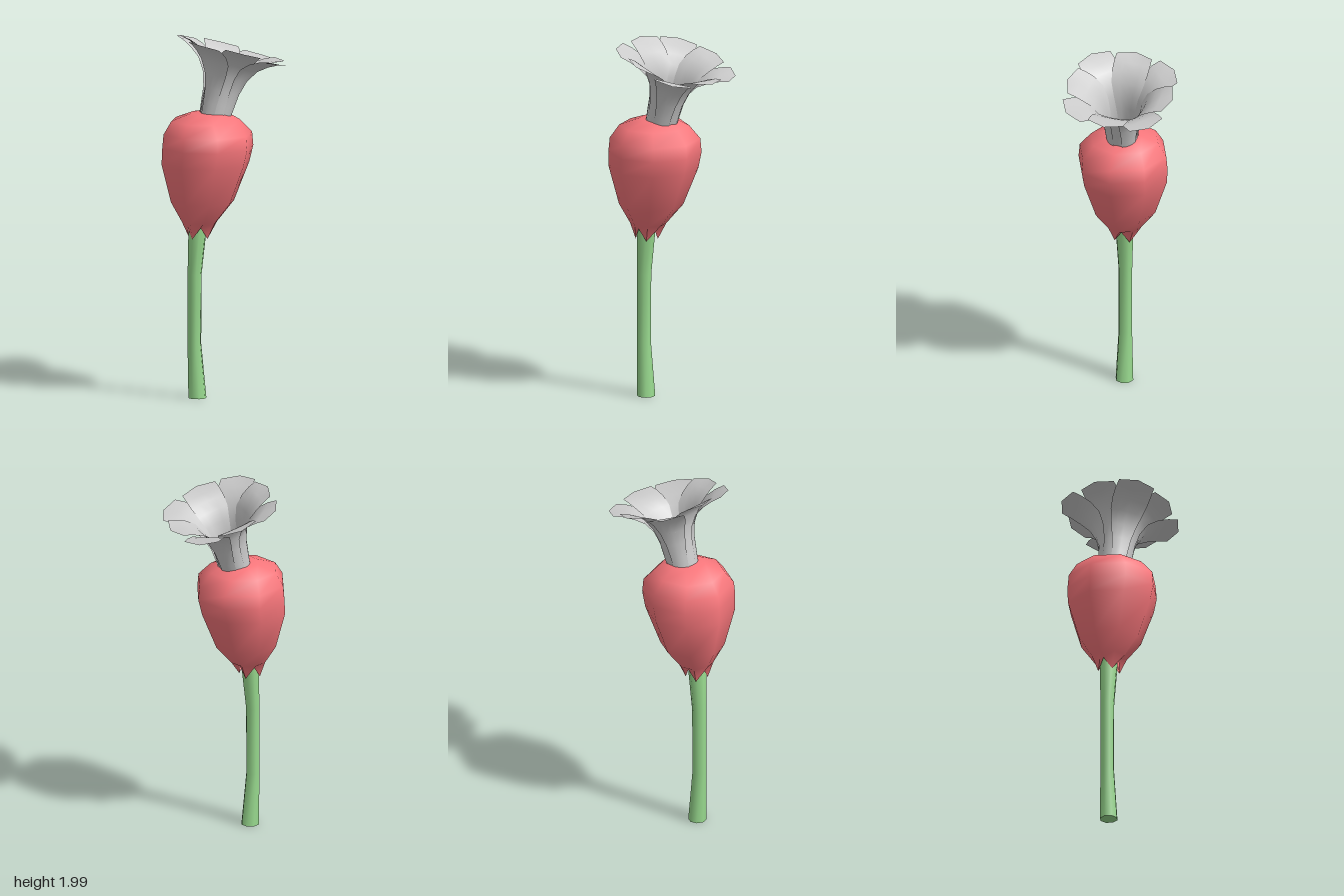
import * as THREE from 'three';
import { toCreasedNormals } from 'three/addons/utils/BufferGeometryUtils.js';

const SIDES = 8;

// Skin through rings [x, y, z, radius, zigzag]; zigzag lifts every other corner
function loft(rings) {
  const pos = [], index = [];
  rings.forEach(([x, y, z, r, zigzag = 0], i) => {
    for (let j = 0; j < SIDES; j++) {
      const a = (j / SIDES) * Math.PI * 2;
      pos.push(x + r * Math.cos(a), y + (j % 2) * zigzag, z + r * Math.sin(a));
      if (i === rings.length - 1) continue;
      const k = (j + 1) % SIDES, p = i * SIDES, q = p + SIDES;
      index.push(p + j, q + j, p + k, p + k, q + j, q + k);
    }
  });
  const g = new THREE.BufferGeometry();
  g.setAttribute('position', new THREE.Float32BufferAttribute(pos, 3));
  g.setIndex(index);
  return toCreasedNormals(g, 1.1);
}

// Petal rows [radius, height, half width]: wrapped round the neck, flat at the rim
const PETAL = [
  [0.083, 0.0, 0.042], [0.09, 0.08, 0.046], [0.096, 0.16, 0.055], [0.115, 0.24, 0.072],
  [0.15, 0.305, 0.092], [0.2, 0.345, 0.101], [0.25, 0.37, 0.102], [0.3, 0.385, 0.1],
];

function petalGeometry(inner) {
  const cols = 4, last = PETAL.length - 1;
  const g = new THREE.PlaneGeometry(1, 1, cols, last);
  const p = g.attributes.position;
  PETAL.forEach(([r0, h, w], i) => {
    const t = i / last;
    const r = inner ? r0 * (1 - 0.1 * t) - 0.003 : r0;
    for (let j = 0; j <= cols; j++) {
      const u = (j / cols) * 2 - 1, a = (u * w) / r;
      const tip = i === last ? 0.033 * (1 - Math.abs(u)) : 0;
      p.setXYZ(
        i * (cols + 1) + j,
        THREE.MathUtils.lerp(r * Math.cos(a), r, t) + tip,
        h + (inner ? 0.012 * t : 0),
        THREE.MathUtils.lerp(r * Math.sin(a), u * w, t),
      );
    }
  });
  g.computeVertexNormals();
  return g;
}

export function createModel() {
  const model = new THREE.Group();
  const green = new THREE.MeshStandardMaterial({ color: 0x98d98e, side: THREE.DoubleSide });
  const red = new THREE.MeshStandardMaterial({ color: 0xf9777c, side: THREE.DoubleSide });
  const grey = new THREE.MeshStandardMaterial({ color: 0xcccccc, side: THREE.DoubleSide });

  const add = (parent, name, geometry, material) => {
    const mesh = new THREE.Mesh(geometry, material);
    mesh.name = name;
    parent.add(mesh);
    return mesh;
  };

  // Slightly waisted stem with a closed foot
  add(model, 'stem', loft([
    [-0.115, 0, 0.15, 0], [-0.115, 0, 0.15, 0.05], [-0.127, 0.3, 0.162, 0.038],
    [-0.126, 0.68, 0.161, 0.039], [-0.115, 0.92, 0.15, 0.05], [-0.11, 1.0, 0.14, 0.05],
  ]), green);

  // Swollen hip, with a toothed lower edge
  add(model, 'hip', loft([
    [-0.113, 0.88, 0.146, 0.06, 0.065], [-0.108, 0.97, 0.138, 0.098], [-0.1, 1.08, 0.122, 0.175],
    [-0.09, 1.29, 0.108, 0.244], [-0.08, 1.38, 0.1, 0.253], [-0.08, 1.455, 0.1, 0.246],
    [-0.092, 1.525, 0.105, 0.19], [-0.08, 1.565, 0.09, 0.1], [-0.07, 1.57, 0.08, 0],
  ]), red);

  // Flower, leaning along the bent stalk
  const flower = new THREE.Group();
  flower.name = 'flower';
  flower.position.set(-0.06, 1.53, 0.07);
  flower.quaternion.setFromUnitVectors(
    new THREE.Vector3(0, 1, 0), new THREE.Vector3(0.16, 1, -0.23).normalize());
  model.add(flower);

  // Green collar and domed heart inside the petals
  add(flower, 'collar', loft([
    [0, -0.01, 0, 0.078], [0, 0.06, 0, 0.078], [0, 0.085, 0, 0.06], [0, 0.1, 0, 0.035], [0, 0.105, 0, 0],
  ]), green);

  // Four outer petals on the axes, four inner ones between them
  const shapes = [petalGeometry(false), petalGeometry(true)];
  for (let i = 0; i < 8; i++) {
    const petal = add(flower, i % 2 ? 'innerPetal' : 'outerPetal', shapes[i % 2], grey);
    petal.rotation.y = (i * Math.PI) / 4;
  }
  return model;
}
